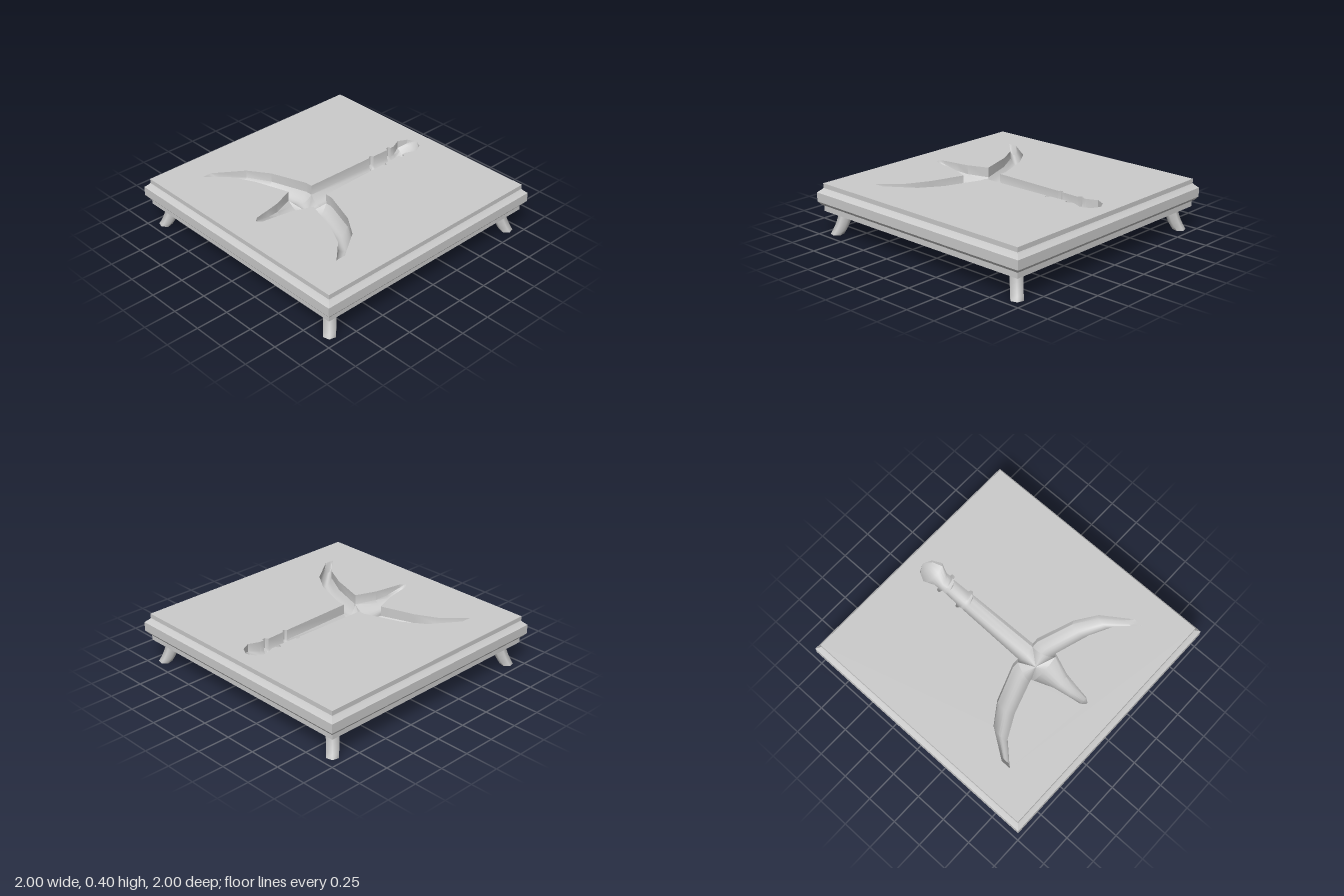
import * as THREE from 'three';
import { toCreasedNormals } from 'three/addons/utils/BufferGeometryUtils.js';

const TOP = 0.395;
const DEPTH = 0.14;
const WALL = 0.55; // share of the depth that is upright wall
const STEPS = 8;

// Sections of the recess: rim ends a and b on the top face, and depth d
const straight = ([z, w, d = DEPTH]) => ({ a: [-w, z], b: [w, z], d });
const mirror = ({ a, b, d }) => ({ a: [-b[0], b[1]], b: [-a[0], a[1]], d });

const shaft = [
  [-0.86, 0.008, 0], [-0.83, 0.065, 0.06], [-0.76, 0.1, 0.11], [-0.68, 0.065],
  [-0.645, 0.065], [-0.64, 0.085], [-0.615, 0.085], [-0.605, 0.06],
  [-0.46, 0.065], [-0.45, 0.085], [-0.43, 0.085], [-0.42, 0.068], [0.165, 0.08],
].map(straight);

const blade = [
  [0.34, 0.135], [0.5, 0.072, 0.13], [0.6, 0.053, 0.11], [0.72, 0.033, 0.05], [0.755, 0.008, 0],
].map(straight);

// Arm on +x: a is the inner rim, b the outer rim
const rightArm = [
  { a: [0.135, 0.34], b: [0.08, 0.165], d: DEPTH },
  { a: [0.15, 0.345], b: [0.135, 0.165], d: DEPTH },
  { a: [0.4, 0.425], b: [0.41, 0.265], d: 0.13 },
  { a: [0.575, 0.515], b: [0.57, 0.375], d: 0.11 },
  { a: [0.69, 0.635], b: [0.685, 0.54], d: 0.07 },
  { a: [0.72, 0.67], b: [0.72, 0.59], d: 0 },
];
const leftArm = rightArm.map(mirror);

// Points across a section: rim, wall foot, hollow floor, wall foot, rim
function sectionPoints({ a, b, d }) {
  const pts = [[a[0], TOP, a[1]]];
  for (let i = 0; i <= STEPS; i++) {
    const s = i / STEPS, t = 2 * s - 1;
    pts.push([
      a[0] + (b[0] - a[0]) * s,
      TOP - d * (WALL + (1 - WALL) * (1 - t * t)),
      a[1] + (b[1] - a[1]) * s,
    ]);
  }
  pts.push([b[0], TOP, b[1]]);
  return pts;
}

function trianglesGeometry(tris) {
  const g = new THREE.BufferGeometry();
  g.setAttribute('position', new THREE.Float32BufferAttribute(tris.flat(2), 3));
  g.computeVertexNormals();
  return toCreasedNormals(g, 0.6);
}

function groove(sections) {
  const rows = sections.map(sectionPoints), tris = [];
  for (let i = 0; i + 1 < rows.length; i++) {
    for (let j = 0; j + 1 < rows[i].length; j++) {
      const p = rows[i][j], q = rows[i + 1][j], r = rows[i][j + 1], s = rows[i + 1][j + 1];
      tris.push([p, q, r], [r, q, s]);
    }
  }
  return trianglesGeometry(tris);
}

// Floor where shaft, arms and blade meet
function junction() {
  const floor = (s) => sectionPoints(s).slice(1, -1);
  const loop = [
    ...floor(shaft[shaft.length - 1]),
    ...floor(rightArm[0]).reverse(),
    ...floor(blade[0]).reverse(),
    ...floor(leftArm[0]).reverse(),
  ];
  const centre = [0, TOP - DEPTH - 0.01, 0.27];
  return trianglesGeometry(loop.map((p, i) => [centre, loop[(i + 1) % loop.length], p]));
}

// Top face with the outline of the recess cut out
function topFace() {
  const half = [
    ...shaft.map((s) => s.b),
    ...rightArm.slice(1).map((s) => s.b),
    ...rightArm.slice(1).reverse().map((s) => s.a),
    ...blade.map((s) => s.b),
  ];
  const outline = [...half, ...half.slice().reverse().map(([x, z]) => [-x, z])];
  const h = 0.965;
  const shape = new THREE.Shape([[-h, -h], [h, -h], [h, h], [-h, h]].map((p) => new THREE.Vector2(...p)));
  shape.holes.push(new THREE.Path(outline.map(([x, z]) => new THREE.Vector2(x, -z))));
  return new THREE.ShapeGeometry(shape).rotateX(-Math.PI / 2).translate(0, TOP, 0);
}

// Square moulded slab: a four-sided lathe of the edge profile
function slabBody() {
  const profile = [
    [0, 0.18], [0.965, 0.18], [0.965, 0.23], [0.98, 0.23], [1, 0.255],
    [1, 0.325], [0.972, 0.35], [0.965, 0.36], [0.965, TOP],
  ].map(([r, y]) => new THREE.Vector2(r * Math.SQRT2, y));
  return toCreasedNormals(new THREE.LatheGeometry(profile, 4, Math.PI / 4), 0.3);
}

// Six-sided foot that sweeps outward along the corner diagonal
function footGeometry() {
  const h = 0.19;
  const g = new THREE.CylinderGeometry(0.053, 0.05, h, 6, 6, false, Math.PI / 4).translate(0, h / 2, 0);
  const pos = g.attributes.position;
  for (let i = 0; i < pos.count; i++) {
    const k = 1 - pos.getY(i) / h;
    const out = 0.853 + 0.015 * k + 0.036 * k * k;
    pos.setX(i, pos.getX(i) + out);
    pos.setZ(i, pos.getZ(i) + out);
  }
  return toCreasedNormals(g, 1.15);
}

export function createModel() {
  const model = new THREE.Group();
  model.name = 'footedStand';
  const grey = new THREE.MeshStandardMaterial({ color: 0xcccccc });
  const greyBoth = new THREE.MeshStandardMaterial({ color: 0xcccccc, side: THREE.DoubleSide });
  const add = (name, geometry, material = grey, parent = model) => {
    const mesh = new THREE.Mesh(geometry, material);
    mesh.name = name;
    parent.add(mesh);
    return mesh;
  };

  add('slabBody', slabBody());
  add('topFace', topFace());

  const recess = new THREE.Group();
  recess.name = 'recess';
  model.add(recess);
  add('shaftGroove', groove(shaft), greyBoth, recess);
  add('bladeGroove', groove(blade), greyBoth, recess);
  add('rightArmGroove', groove(rightArm), greyBoth, recess);
  add('leftArmGroove', groove(leftArm), greyBoth, recess);
  add('junctionFloor', junction(), greyBoth, recess);

  // Four feet, one per corner
  const foot = footGeometry();
  ['frontLeftFoot', 'backLeftFoot', 'backRightFoot', 'frontRightFoot'].forEach((name, i) => {
    add(name, foot).rotation.y = (i * Math.PI) / 2;
  });
  return model;
}
